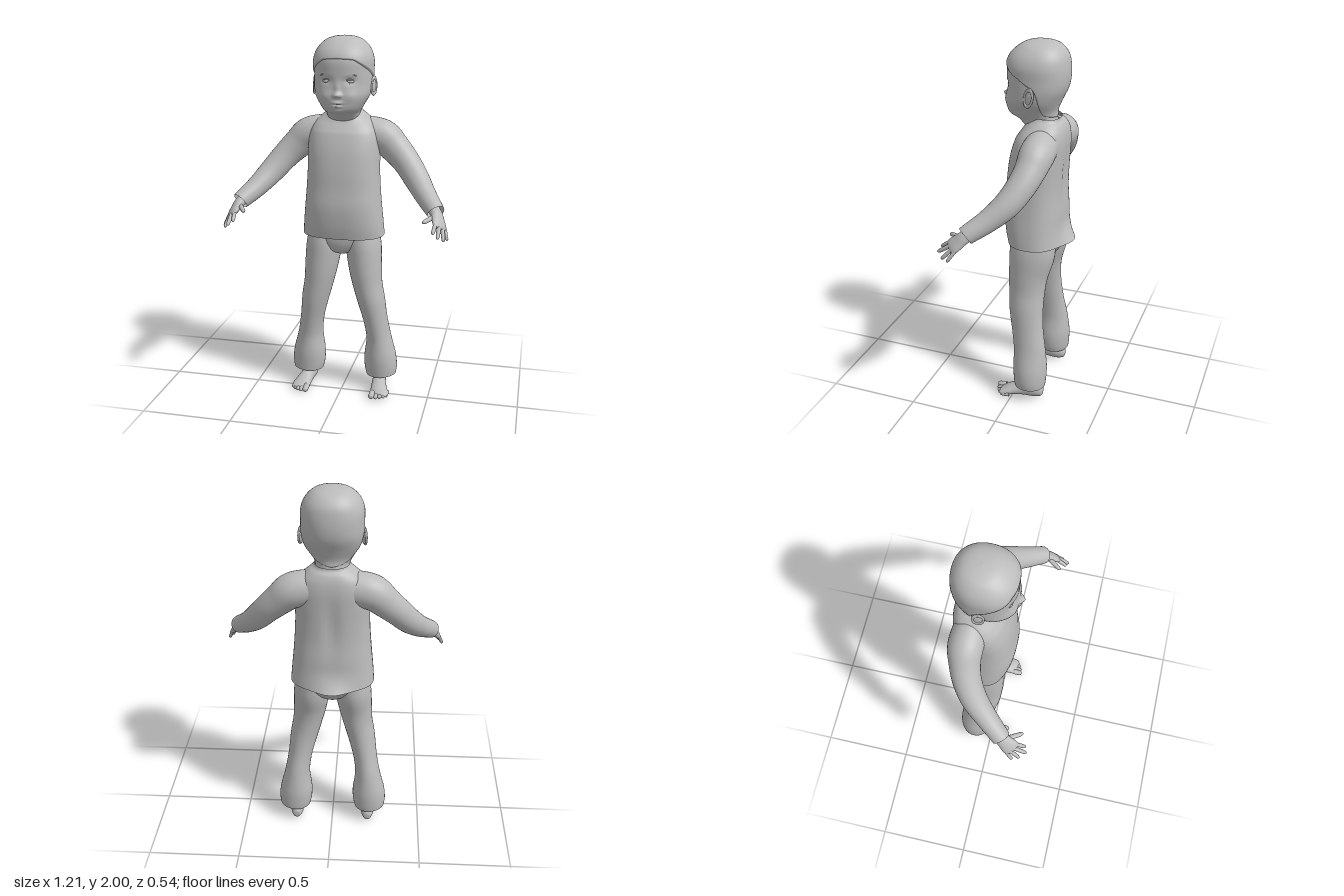
import * as THREE from 'three';

const skinAndCloth = new THREE.MeshStandardMaterial({ color: 0xbcbcbc, side: THREE.DoubleSide });
skinAndCloth.name = 'plain grey';

// Smooth interpolation through a short table of sections; t counts sections.
function sample(rows, t) {
  const n = rows.length, i = Math.min(Math.floor(t), n - 2), f = t - i;
  const [p0, p1, p2, p3] = [rows[Math.max(i - 1, 0)], rows[i], rows[i + 1], rows[Math.min(i + 2, n - 1)]];
  return p1.map((b, k) => {
    const a = p0[k], c = p2[k], d = p3[k];
    return b + 0.5 * f * (c - a + f * (2 * a - 5 * b + 4 * c - d + f * (3 * (b - c) + d - a)));
  });
}

// Closed-around grid surface: point(u, angle) with u running 0..1.
function surface(rows, cols, point) {
  const pos = [], idx = [];
  for (let i = 0; i <= rows; i++)
    for (let j = 0; j < cols; j++) pos.push(...point(i / rows, (j / cols) * Math.PI * 2));
  for (let i = 0; i < rows; i++)
    for (let j = 0; j < cols; j++) {
      const k = (j + 1) % cols, a = i * cols + j, b = i * cols + k;
      idx.push(a, b, b + cols, a, b + cols, a + cols);
    }
  const g = new THREE.BufferGeometry();
  g.setAttribute('position', new THREE.Float32BufferAttribute(pos, 3));
  g.setIndex(idx);
  g.computeVertexNormals();
  return g;
}

// Horizontal ring from a section [y, front z, back z, half width].
function ring([y, front, back, rx], a, power) {
  const sup = (v) => Math.sign(v) * Math.abs(v) ** (2 / power);
  return [sup(Math.sin(a)) * rx, y, (front + back) / 2 + sup(Math.cos(a)) * (front - back) / 2];
}

// Sweep of ellipses [x, y, z, half width, half depth] along a path.
function sweep(rows, wide, cols = 24, steps = 6) {
  const n = rows.length - 1, side0 = new THREE.Vector3(...wide);
  return surface(n * steps, cols, (u, a) => {
    const t = u * n, r = sample(rows, t);
    const p = sample(rows, Math.max(t - 0.2, 0)), q = sample(rows, Math.min(t + 0.2, n));
    const dir = new THREE.Vector3(q[0] - p[0], q[1] - p[1], q[2] - p[2]).normalize();
    const side = side0.clone().addScaledVector(dir, -side0.dot(dir)).normalize();
    const nrm = side.clone().cross(dir);
    return new THREE.Vector3(r[0], r[1], r[2])
      .addScaledVector(side, Math.sin(a) * Math.max(r[3], 0))
      .addScaledVector(nrm, Math.cos(a) * Math.max(r[4], 0)).toArray();
  });
}

// Round-ended finger or toe.
function digit(from, to, r, wide) {
  const at = (f, s) => [...from.map((v, i) => v + (to[i] - v) * f), r * s, r * s];
  return sweep([at(0, 1), at(0.45, 1), at(0.8, 0.9), at(0.94, 0.6), at(1, 0)], wide, 12, 4);
}

const HEAD = [
  [1.56, 0, -0.17, 0.085], [1.6, 0.045, -0.165, 0.09], [1.62, 0.083, -0.162, 0.1], [1.65, 0.097, -0.165, 0.118],
  [1.7, 0.098, -0.185, 0.145], [1.76, 0.092, -0.212, 0.153], [1.82, 0.094, -0.222, 0.153], [1.88, 0.092, -0.22, 0.152],
  [1.93, 0.07, -0.208, 0.134], [1.97, 0.025, -0.175, 0.098], [1.988, -0.02, -0.132, 0.054], [1.994, -0.075, -0.077, 0]];

// Facial relief: [x, y, width, height, push forward]
const FACE = [
  [0, 1.71, 0.016, 0.013, 0.024], [0, 1.745, 0.013, 0.03, 0.01], [0, 1.668, 0.022, 0.007, 0.012],
  [0, 1.649, 0.018, 0.007, 0.012], [0, 1.659, 0.026, 0.003, -0.008], [0, 1.62, 0.025, 0.015, 0.008]];
for (const s of [-1, 1]) FACE.push([0.016 * s, 1.705, 0.009, 0.008, 0.01],
  [0.062 * s, 1.78, 0.028, 0.018, -0.011], [0.07 * s, 1.7, 0.035, 0.03, 0.007]);

function headPoint(t, a) {
  const p = ring(sample(HEAD, t), a, 2.2), front = Math.max(0, Math.cos(a));
  let push = 0;
  for (const [x, y, w, h, d] of FACE) push += d * Math.exp(-(((p[0] - x) / w) ** 2) - ((p[1] - y) / h) ** 2);
  p[2] += push * Math.min(1, front * 2);
  return p;
}

// Hairline height along the head, by angle from the front
const HAIRLINE = [[0, 7.2], [0.5, 7.1], [0.9, 6.5], [1.3, 6], [1.7, 5.3], [2, 4], [2.3, 2.3], [3.15, 1.3]];
function hairPoint(u, a) {
  const b = Math.min(a, Math.PI * 2 - a);
  const i = HAIRLINE.findIndex((h) => h[0] > b), [a0, t0] = HAIRLINE[i - 1], [a1, t1] = HAIRLINE[i];
  const start = t0 + ((t1 - t0) * (b - a0)) / (a1 - a0);
  const p = ring(sample(HEAD, start + (11 - start) * u), a, 2.2);
  const k = u === 0 ? 0.99 : 1.045; // first row tucks into the skin
  return [p[0] * k, p[1] + (u === 0 ? 0 : 0.006 * u), -0.065 + (p[2] + 0.065) * k];
}

const SHIRT = [
  [0.925, 0.075, -0.225, 0.224], [1, 0.09, -0.222, 0.218], [1.1, 0.098, -0.22, 0.208], [1.2, 0.09, -0.215, 0.2],
  [1.3, 0.083, -0.217, 0.195], [1.4, 0.068, -0.222, 0.195], [1.48, 0.045, -0.225, 0.188], [1.54, 0.02, -0.22, 0.163],
  [1.58, 0.003, -0.207, 0.124], [1.6, -0.002, -0.19, 0.1], [1.615, -0.002, -0.186, 0.09]];
function shirtPoint(u, a) {
  const p = ring(sample(SHIRT, u * 10), a, 2.5), c = Math.cos(a), [x, y] = p;
  if (c < 0) { // pointed back hem and a shallow spine hollow
    p[2] -= 0.048 * Math.exp(-((x / 0.1) ** 2)) * Math.max(0, (1.05 - y) / 0.125) ** 2;
    p[2] += 0.012 * Math.exp(-((x / 0.035) ** 2) - ((y - 1.3) / 0.15) ** 2);
  }
  p[1] += Math.max(0, (y - 1.5) / 0.115) * (c > 0 ? -0.04 : -0.005) * Math.abs(c); // collar dips in front
  return p;
}

const PELVIS = [[0.815, -0.04, -0.1, 0.01], [0.83, 0.02, -0.16, 0.06], [0.87, 0.042, -0.195, 0.145],
  [0.92, 0.05, -0.215, 0.195], [1, 0.05, -0.2, 0.196]];

export function createModel() {
  const model = new THREE.Group();
  const add = (name, geometry, parent = model) => {
    const m = new THREE.Mesh(geometry, skinAndCloth);
    m.name = name;
    parent.add(m);
    return m;
  };

  add('head', surface(110, 120, (u, a) => headPoint(u * 11, a)));
  add('hairCap', surface(44, 80, hairPoint));
  add('shirt', surface(70, 80, shirtPoint));
  add('trouserSeat', surface(20, 48, (u, a) => ring(sample(PELVIS, u * 4), a, 2.2)));

  for (const s of [1, -1]) {
    const side = s > 0 ? 'left' : 'right';
    const flip = (rows) => rows.map(([x, ...rest]) => [x * s, ...rest]);
    const part = new THREE.Group();
    part.name = side + 'Side';
    model.add(part);

    // Sleeve, ending in an open cuff
    add('sleeve', sweep(flip([[0.09, 1.48, -0.12, 0.085, 0.095], [0.2, 1.462, -0.125, 0.09, 0.094],
      [0.27, 1.405, -0.115, 0.08, 0.083], [0.335, 1.34, -0.09, 0.074, 0.074], [0.4, 1.262, -0.04, 0.068, 0.068],
      [0.46, 1.192, 0.035, 0.058, 0.058], [0.52, 1.135, 0.115, 0.05, 0.049], [0.53, 1.125, 0.128, 0.049, 0.046]]),
      [0, 0, 1], 32), part);

    // Hand: palm, four fingers and a thumb
    const across = [-0.07 * s, 0.05, 0.055];
    add('palm', sweep(flip([[0.5, 1.15, 0.09, 0.036, 0.032], [0.531, 1.12, 0.13, 0.036, 0.028],
      [0.545, 1.095, 0.16, 0.042, 0.023], [0.556, 1.073, 0.185, 0.046, 0.018], [0.562, 1.06, 0.2, 0.036, 0.011],
      [0.563, 1.057, 0.204, 0, 0]]), across, 20), part);
    const fingers = [[[0.58, 1.058, 0.165], [0.6, 1.0, 0.203], 0.0095], [[0.57, 1.065, 0.18], [0.585, 1.003, 0.24], 0.0105],
      [[0.556, 1.075, 0.194], [0.557, 1.025, 0.272], 0.011], [[0.538, 1.088, 0.2], [0.53, 1.045, 0.262], 0.0105],
      [[0.525, 1.11, 0.155], [0.475, 1.095, 0.235], 0.0125]];
    fingers.forEach(([from, to, r], i) =>
      add(i < 4 ? 'finger' : 'thumb', digit(...flip([from, to]), r, across), part));

    // Trouser leg, flared at the ankle
    add('trouserLeg', sweep(flip([[0.105, 0.96, -0.08, 0.085, 0.12], [0.112, 0.86, -0.072, 0.098, 0.125],
      [0.125, 0.74, -0.056, 0.092, 0.109], [0.14, 0.64, -0.053, 0.082, 0.1], [0.162, 0.54, -0.057, 0.076, 0.095],
      [0.184, 0.42, -0.073, 0.067, 0.089], [0.2, 0.31, -0.09, 0.07, 0.09], [0.208, 0.2, -0.096, 0.09, 0.095],
      [0.213, 0.13, -0.098, 0.093, 0.091], [0.216, 0.085, -0.098, 0.086, 0.086]]), [1, 0, 0], 32), part);

    // Foot with ankle and toes
    add('ankle', sweep(flip([[0.205, 0.04, -0.112, 0.034, 0.046], [0.207, 0.1, -0.105, 0.035, 0.042],
      [0.208, 0.2, -0.098, 0.042, 0.045]]), [1, 0, 0]), part);
    add('foot', sweep(flip([[0.205, 0.036, -0.173, 0, 0], [0.205, 0.037, -0.165, 0.022, 0.028],
      [0.205, 0.044, -0.125, 0.036, 0.044], [0.21, 0.044, -0.06, 0.038, 0.044], [0.22, 0.032, 0, 0.045, 0.032],
      [0.228, 0.021, 0.04, 0.05, 0.021], [0.226, 0.016, 0.065, 0.042, 0.012], [0.225, 0.015, 0.075, 0, 0]]), [1, 0, 0]), part);
    [[0.192, 0.105, 0.0165], [0.217, 0.1, 0.012], [0.238, 0.091, 0.0115], [0.256, 0.079, 0.011], [0.271, 0.063, 0.0105]]
      .forEach(([x, z, r]) => add('toe', digit([x * s, r + 0.006, z - 0.055], [x * s, r, z], r, [1, 0, 0]), part));

    // Ear: shell with a raised rim
    const ear = new THREE.Group();
    ear.name = 'ear';
    ear.position.set(0.156 * s, 1.74, -0.068);
    ear.rotation.set(-0.2, s * (Math.PI / 2 - 0.35), 0);
    add('earShell', new THREE.SphereGeometry(1, 20, 14).scale(0.027, 0.046, 0.01), ear);
    add('earRim', new THREE.TorusGeometry(0.025, 0.006, 8, 28).scale(1, 1.7, 1).translate(0, 0, 0.005), ear);
    part.add(ear);

    // Eye with lids and brow
    add('eye', new THREE.SphereGeometry(1, 20, 14).scale(0.024, 0.011, 0.014), part).position.set(0.06 * s, 1.776, 0.064);
    const arc = (name, y, z, lift, half, r) => {
      const pts = [-1, -0.5, 0, 0.5, 1].map((f) =>
        new THREE.Vector3(s * (0.06 + f * half), y + lift * (1 - f * f), z - 0.008 * f - 0.006 * f * f));
      add(name, new THREE.TubeGeometry(new THREE.CatmullRomCurve3(pts), 16, r, 6), part);
    };
    arc('upperLid', 1.777, 0.076, 0.01, 0.027, 0.0035);
    arc('lowerLid', 1.773, 0.075, -0.009, 0.024, 0.003);
    arc('brow', 1.806, 0.079, 0.008, 0.034, 0.004);
  }
  return model;
}
